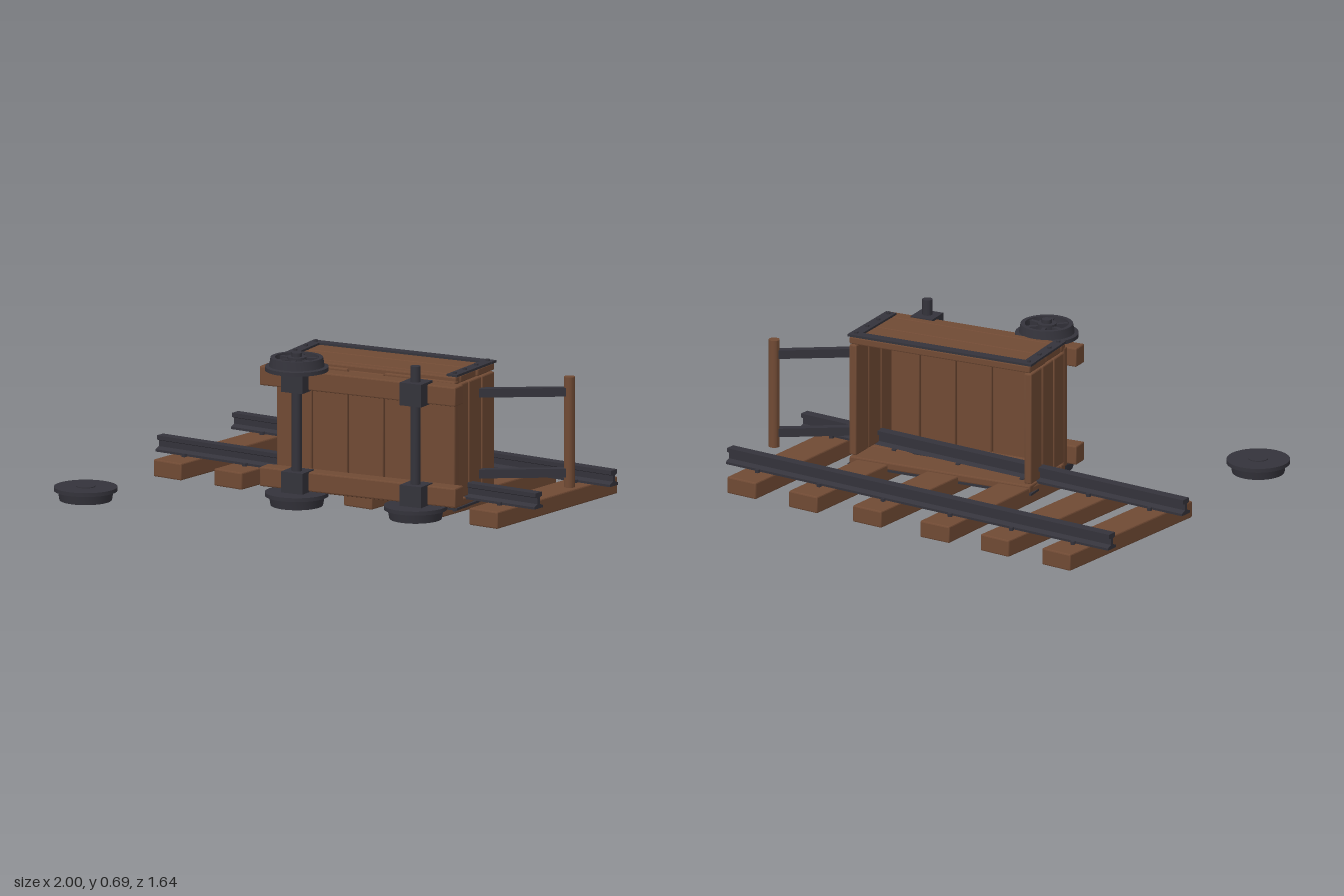
import * as THREE from 'three';
import { toCreasedNormals } from 'three/addons/utils/BufferGeometryUtils.js';
import { RoundedBoxGeometry } from 'three/addons/geometries/RoundedBoxGeometry.js';

const wood = new THREE.MeshStandardMaterial({ color: 0x704a34 });
const iron = new THREE.MeshStandardMaterial({ color: 0x34333b });
wood.name = 'brown wood';
iron.name = 'dark iron';

function add(parent, name, geometry, material, x, y, z) {
  const mesh = new THREE.Mesh(geometry, material);
  mesh.name = name;
  mesh.position.set(x, y, z);
  parent.add(mesh);
  return mesh;
}

// Timber with slightly worn edges
function plank(parent, name, w, h, d, x, y, z) {
  return add(parent, name, toCreasedNormals(new RoundedBoxGeometry(w, h, d, 1, 0.006), 0.3), wood, x, y, z);
}

function ironBox(parent, name, w, h, d, x, y, z) {
  return add(parent, name, new THREE.BoxGeometry(w, h, d), iron, x, y, z);
}

function rod(parent, name, radius, length, material, x, y, z, sides = 16) {
  const geometry = toCreasedNormals(new THREE.CylinderGeometry(radius, radius, length, sides), 0.6);
  return add(parent, name, geometry, material, x, y, z);
}

// Flanged wheel: flange at y = 0, spoked face towards +y
function makeWheel(name) {
  const wheel = new THREE.Group();
  wheel.name = name;
  const profile = [[0, 0], [0.137, 0], [0.137, 0.017], [0.12, 0.02], [0.113, 0.058],
    [0.095, 0.058], [0.093, 0.03], [0, 0.03]].map(([r, y]) => new THREE.Vector2(r, y));
  add(wheel, 'wheelRim', toCreasedNormals(new THREE.LatheGeometry(profile, 32), 0.5), iron, 0, 0, 0);
  rod(wheel, 'hub', 0.042, 0.064, iron, 0, 0.028, 0);
  rod(wheel, 'axleCap', 0.022, 0.08, iron, 0, 0.037, 0);
  for (let i = 0; i < 6; i++) {
    const a = (i * Math.PI) / 3 + 0.3;
    const spoke = ironBox(wheel, 'spoke', 0.07, 0.022, 0.018, Math.cos(a) * 0.066, 0.04, Math.sin(a) * 0.066);
    spoke.rotation.y = -a;
  }
  return wheel;
}

function makeTrack() {
  const track = new THREE.Group();
  track.name = 'track';
  const railZ = [-0.1, -0.655];

  // Sleepers, each a little askew, with spikes beside the rails
  const sleepers = [[-0.833, -0.025], [-0.512, -0.028], [-0.178, 0.018], [0.165, -0.006], [0.5, -0.006], [0.825, 0]];
  for (const [x, tilt] of sleepers) {
    plank(track, 'sleeper', 0.15, 0.075, 0.885, x, 0.0425, -0.378).rotation.y = tilt;
    for (const z of railZ) {
      for (const side of [-1, 1]) {
        rod(track, 'spike', 0.011, 0.02, iron, x + tilt * (z + 0.378), 0.084, z + side * 0.045, 8);
      }
    }
  }

  // Rails extruded from an I-shaped section
  const half = [[0.031, 0], [0.031, 0.01], [0.008, 0.02], [0.008, 0.046], [0.023, 0.052], [0.023, 0.07]];
  const outline = [...half, ...half.map(([x, y]) => [-x, y]).reverse()];
  const section = new THREE.Shape(outline.map(([x, y]) => new THREE.Vector2(x, y)));
  const railGeometry = new THREE.ExtrudeGeometry(section, { depth: 2, bevelEnabled: false });
  railGeometry.translate(0, 0, -1);
  railGeometry.rotateY(Math.PI / 2);
  for (const z of railZ) add(track, 'rail', railGeometry, iron, 0, 0.08, z);
  return track;
}

// Cart lying on its side: floor faces +z, opening faces -z
function makeCart() {
  const cart = new THREE.Group();
  cart.name = 'cart';
  cart.position.set(0.225, 0.345, 0.083);
  cart.rotation.y = 0.137;

  // Floor boards
  const lengths = [0.54, 0.55, 0.535, 0.55, 0.54];
  lengths.forEach((length, i) => plank(cart, 'floorBoard', 0.169, length, 0.036, (i - 2) * 0.174, 0, -0.006));

  for (const s of [-1, 1]) {
    // Side walls
    plank(cart, 'sideBoard', 0.87, 0.034, 0.155, 0, s * 0.272, -0.272);
    plank(cart, 'sideBoard', 0.86, 0.034, 0.142, 0, s * 0.272, -0.117);
    plank(cart, 'sideBoard', 0.86, 0.034, 0.042, 0, s * 0.272, -0.021);

    // End walls, leaning slightly outwards to the rim
    const end = new THREE.Group();
    end.name = 'endWall';
    end.position.x = s * 0.413;
    end.rotation.y = -s * 0.025;
    for (const z of [-0.288, -0.174, -0.06]) plank(end, 'endBoard', 0.034, 0.5, 0.11, 0, 0, z);
    cart.add(end);

    // Iron straps around the outer edges of the sides
    ironBox(cart, 'rimStrap', 0.885, 0.01, 0.046, 0, s * 0.293, -0.327);
    for (const e of [-1, 1]) {
      const strap = ironBox(cart, 'endStrap', 0.05, 0.01, 0.345, e * 0.413, s * 0.293, -0.177);
      strap.rotation.y = -e * 0.025;
      for (const z of [-0.32, -0.22, -0.12, -0.03]) {
        rod(cart, 'rivet', 0.01, 0.012, iron, e * (0.413 - (z + 0.177) * 0.025), s * 0.3, z, 8);
      }
    }

    // Chassis beams and axle boxes
    plank(cart, 'chassisBeam', 0.95, 0.085, 0.078, 0, s * 0.222, 0.051);
    for (const e of [-1, 1]) ironBox(cart, 'axleBox', 0.105, 0.1, 0.105, e * 0.288, s * 0.225, 0.095);
  }

  // Axles, with one upper wheel missing
  for (const e of [-1, 1]) {
    rod(cart, 'axle', 0.022, 0.688, iron, e * 0.288, 0, 0.1);
    for (const s of [-1, 1]) {
      if (e === 1 && s === 1) continue;
      const wheel = makeWheel('wheel');
      wheel.position.set(e * 0.288, s * 0.267, 0.1);
      if (s < 0) wheel.rotation.x = Math.PI;
      cart.add(wheel);
    }
  }
  return cart;
}

// Push handle: two iron arms carrying a wooden bar
function makeHandle() {
  const handle = new THREE.Group();
  handle.name = 'handle';
  const dx = 0.31, dz = -0.25;
  for (const y of [0.525, 0.17]) {
    const arm = ironBox(handle, 'handleArm', Math.hypot(dx, dz), 0.038, 0.034, 0.62 + dx / 2, y, -0.19 + dz / 2);
    arm.rotation.y = Math.atan2(-dz, dx);
  }
  rod(handle, 'handleBar', 0.024, 0.485, wood, 0.922, 0.348, -0.435);
  return handle;
}

export function createModel() {
  const model = new THREE.Group();
  model.name = 'tippedMineCart';
  model.add(makeTrack(), makeCart(), makeHandle());

  // Lost wheel lying spokes down
  const lost = makeWheel('looseWheel');
  lost.position.set(-0.835, 0.081, 0.677);
  lost.rotation.x = Math.PI;
  model.add(lost);
  return model;
}
